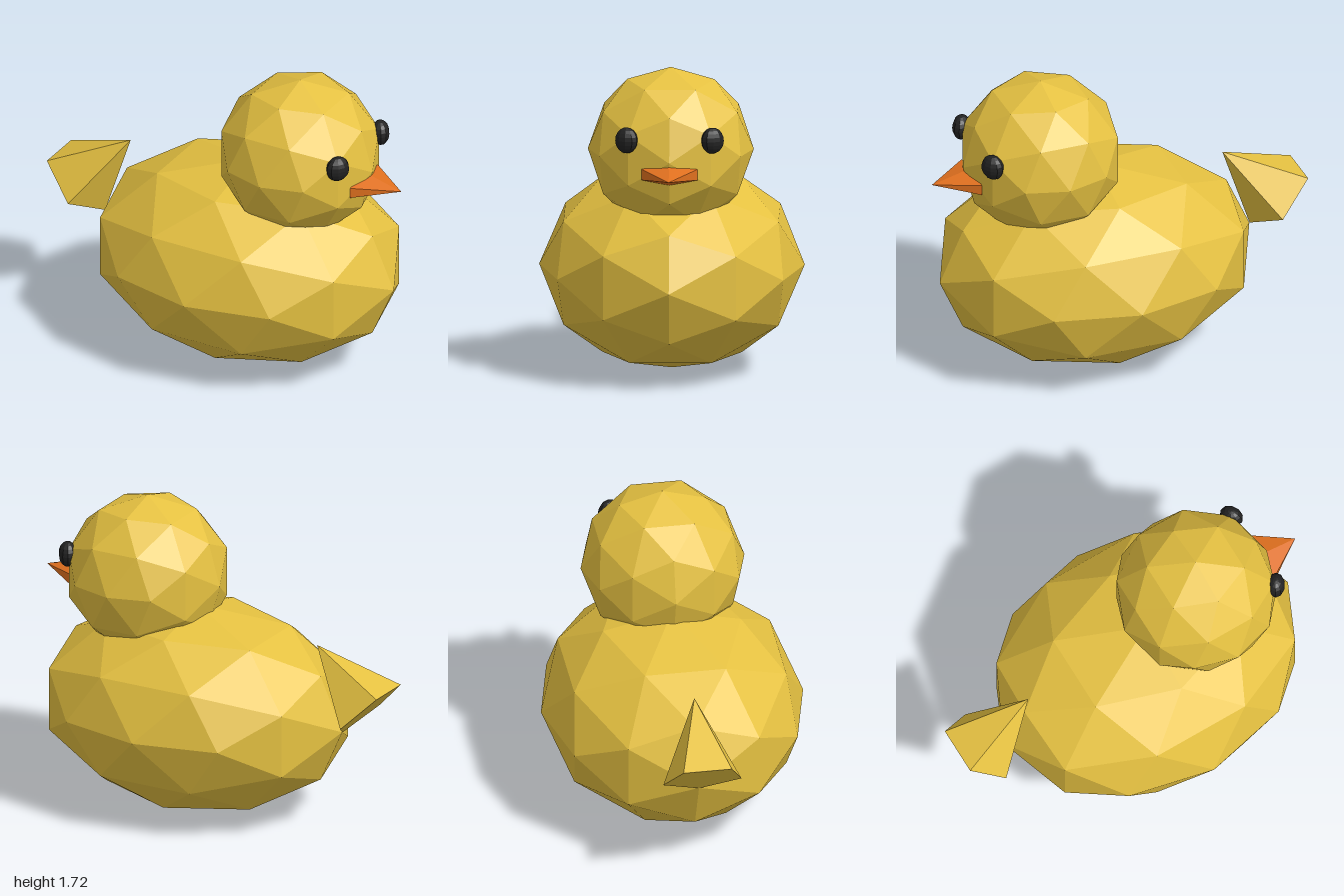
import * as THREE from 'three';

const yellow = new THREE.MeshStandardMaterial({ color: 0xe5c141 });
yellow.name = 'yellow';
const orange = new THREE.MeshStandardMaterial({ color: 0xe0701f });
orange.name = 'orange';
const black = new THREE.MeshStandardMaterial({ color: 0x222222 });
black.name = 'black';

// Gives every face its own flat normal
function faceted(geometry) {
  const g = geometry.index ? geometry.toNonIndexed() : geometry;
  g.computeVertexNormals();
  return g;
}

function addPart(parent, name, geometry, material, x, y, z) {
  const mesh = new THREE.Mesh(faceted(geometry), material);
  mesh.name = name;
  mesh.position.set(x, y, z);
  parent.add(mesh);
  return mesh;
}

export function createModel() {
  const model = new THREE.Group();
  model.name = 'duck';

  // The whole duck is turned a little towards its left
  const duck = new THREE.Group();
  duck.name = 'turnedDuck';
  duck.position.z = 0.137;
  duck.rotation.y = 0.425;
  model.add(duck);

  // Body: stretched low-poly ball
  const bodyShape = new THREE.IcosahedronGeometry(1, 1).scale(0.72, 0.57, 0.9);
  addPart(duck, 'body', bodyShape, yellow, 0, 0.57, 0);

  // Head
  const head = new THREE.Group();
  head.name = 'headGroup';
  head.position.set(0, 1.267, 0.316);
  duck.add(head);
  addPart(head, 'head', new THREE.IcosahedronGeometry(0.45, 1), yellow, 0, 0, 0);

  // Eyes: flattened balls following the curve of the head
  for (const side of [-1, 1]) {
    const eyeShape = new THREE.SphereGeometry(1, 10, 10).scale(0.067, 0.071, 0.05);
    const name = side > 0 ? 'leftEye' : 'rightEye';
    const eye = addPart(head, name, eyeShape, black, side * 0.233, 0.113, 0.367);
    eye.rotation.y = side * 0.56;
  }

  // Beak: flattened six-sided cone pointing forward
  const beakShape = new THREE.ConeGeometry(0.175, 0.232, 6)
    .rotateX(Math.PI / 2)
    .scale(1, 0.34, 1);
  addPart(head, 'beak', beakShape, orange, 0, -0.07, 0.514);

  // Tail: five-sided cone with its point leaning forward and up
  const tailShape = new THREE.ConeGeometry(0.226, 0.45, 5).rotateX(Math.PI / 4);
  addPart(duck, 'tail', tailShape, yellow, 0, 0.888, -0.902);

  return model;
}
